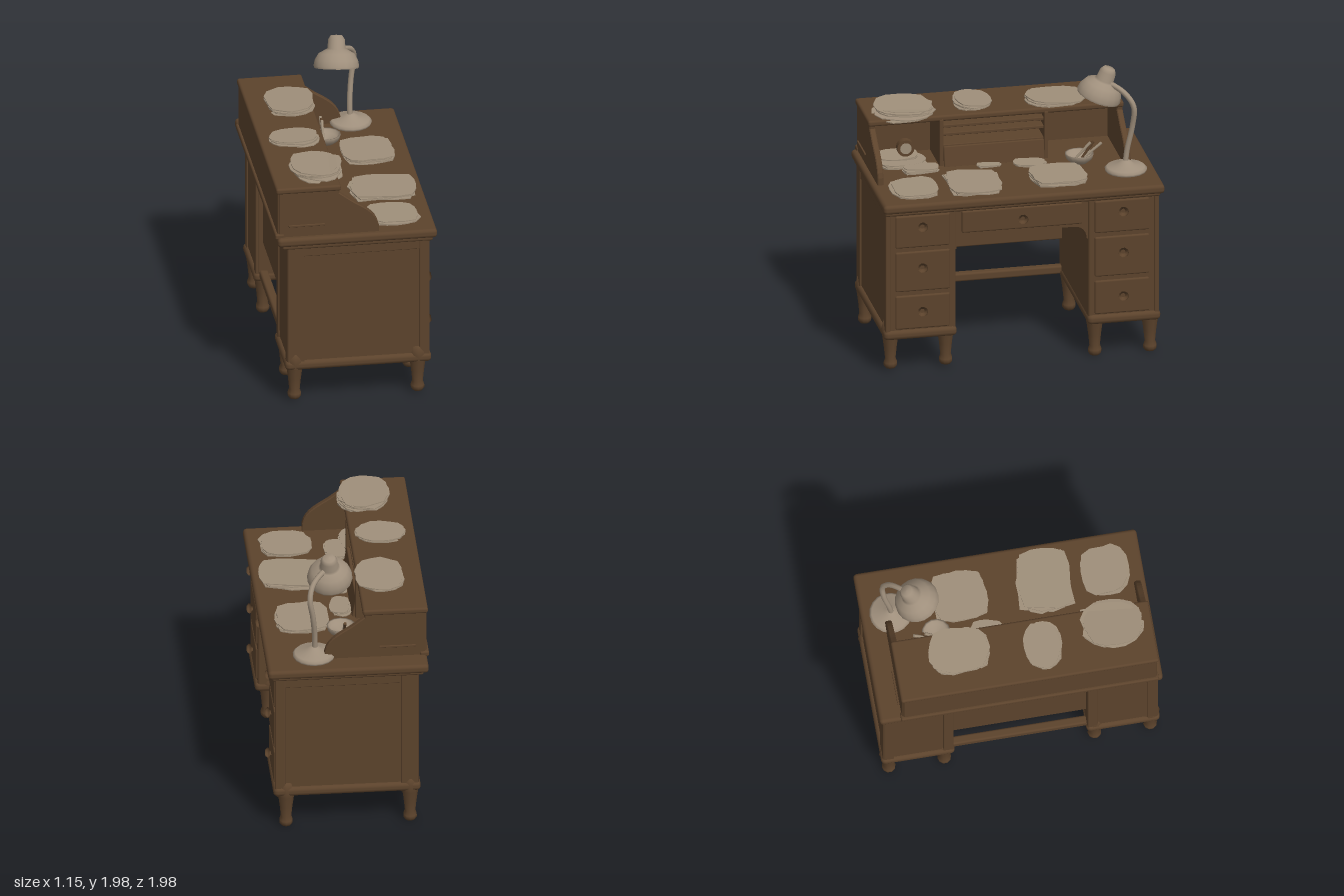
import * as THREE from 'three';
import { RoundedBoxGeometry } from 'three/addons/geometries/RoundedBoxGeometry.js';

export function createModel() {
  const model = new THREE.Group();
  model.name = 'writingDesk';
  // a very slight turn of the whole carcass gives the worn, out-of-square look
  const desk = new THREE.Group();
  desk.name = 'desk';
  desk.rotation.y = 0.022;
  model.add(desk);

  const material = (name, color, side = THREE.FrontSide) => {
    const m = new THREE.MeshStandardMaterial({ color, side });
    m.name = name;
    return m;
  };
  const wood = material('brown wood', 0x5c432c);
  const paper = material('old paper', 0x9f8f7a);
  const enamel = material('beige enamel', 0x9f8f7c, THREE.DoubleSide);

  let seed = 7;
  const rand = () => ((seed = (seed * 16807) % 2147483647) / 2147483647);

  const add = (name, geometry, mat, parent = desk) => {
    const mesh = new THREE.Mesh(geometry, mat);
    mesh.name = name;
    parent.add(mesh);
    return mesh;
  };
  // box given by its limits, with softened edges
  const box = (name, [x0, x1], [y0, y1], [z0, z1], r = 0.01, mat = wood) => {
    const mesh = add(name, new RoundedBoxGeometry(x1 - x0, y1 - y0, Math.abs(z1 - z0), 2, r), mat);
    mesh.position.set((x0 + x1) / 2, (y0 + y1) / 2, (z0 + z1) / 2);
    return mesh;
  };
  const lathe = (name, pts, segments, mat, parent = desk) =>
    add(name, new THREE.LatheGeometry(pts.map(p => new THREE.Vector2(...p)), segments), mat, parent);
  const knob = (y, z) => {
    const k = lathe('drawerKnob', [[0, 0.05], [0.022, 0.047], [0.036, 0.033], [0.033, 0.02], [0.016, 0.012], [0.02, -0.01]], 10, wood);
    k.rotation.z = -Math.PI / 2;
    k.position.set(0.502, y, z);
    k.material = wood;
  };

  // desk top with an under-moulding
  box('deskTop', [-0.548, 0.553], [1.185, 1.25], [-0.985, 0.975], 0.025);
  box('deskTopMoulding', [-0.515, 0.525], [1.16, 1.2], [-0.96, 0.96], 0.015);

  // two drawer pedestals
  for (const s of [1, -1]) {
    const inner = s * 0.462, outer = s * 0.94;
    const span = (a, b) => [Math.min(a, b), Math.max(a, b)];
    box('pedestal', [-0.47, 0.495], [0.25, 1.18], span(inner, outer), 0.015);
    box('pedestalBase', [-0.495, 0.515], [0.245, 0.315], span(s * 0.455, s * 0.965), 0.03);
    // frame on the outer side
    box('sideStile', [-0.478, -0.36], [0.28, 1.18], span(s * 0.92, s * 0.953), 0.008);
    box('sideStile', [0.43, 0.503], [0.28, 1.18], span(s * 0.92, s * 0.953), 0.008);
    box('sideRail', [-0.4, 0.46], [1.1, 1.18], span(s * 0.92, s * 0.948), 0.006);
    // frame on the back
    for (const z of [0.5, 0.91]) box('backStile', [-0.482, -0.45], [0.28, 1.18], [s * z - 0.035, s * z + 0.035], 0.008);
    // drawers
    for (const [y0, y1, ky] of [[0.32, 0.565, 0.45], [0.595, 0.885, 0.77], [0.915, 1.15, 1.07]]) {
      box('drawerFront', [0.47, 0.507], [y0, y1], span(s * 0.505, s * 0.885), 0.012);
      knob(ky, s * 0.7);
    }
    // shaped legs with small feet
    for (const x of [-0.425, 0.425]) for (const z of [0.52, 0.905]) {
      const leg = lathe('leg', [[0, 0], [0.034, 0], [0.047, 0.02], [0.047, 0.04], [0.037, 0.07], [0.045, 0.15], [0.056, 0.23], [0.066, 0.28], [0.05, 0.34], [0, 0.35]], 10, wood);
      leg.position.set(x, s < 0 ? 0 : 0.02, s * z);
    }
  }

  // centre drawer with a rounded arch over the kneehole
  const arch = new THREE.Shape();
  arch.moveTo(-0.47, 1.18);
  arch.lineTo(-0.47, 0.87);
  arch.lineTo(-0.455, 0.87);
  arch.quadraticCurveTo(-0.45, 0.96, -0.37, 0.965);
  arch.lineTo(0.37, 0.965);
  arch.quadraticCurveTo(0.45, 0.96, 0.455, 0.87);
  arch.lineTo(0.47, 0.87);
  arch.lineTo(0.47, 1.18);
  const apron = add('kneeholeApron', new THREE.ExtrudeGeometry(arch, { depth: 0.86, bevelEnabled: false, curveSegments: 6 }), wood);
  apron.rotation.y = -Math.PI / 2;
  apron.position.x = 0.475;
  box('centreDrawer', [0.44, 0.498], [0.99, 1.15], [-0.42, 0.42], 0.012);
  knob(1.07, 0);
  box('kneeholeBackPanel', [-0.43, -0.385], [0.53, 1.18], [-0.47, 0.47]);
  box('stretcher', [-0.455, -0.395], [0.27, 0.33], [-0.48, 0.48], 0.015);

  // hutch: curved ends, back, roof
  const end = new THREE.Shape();
  end.moveTo(-0.53, 1.24);
  end.lineTo(0.15, 1.24);
  end.lineTo(0.148, 1.3);
  end.bezierCurveTo(0.13, 1.4, 0.03, 1.44, -0.04, 1.49);
  end.lineTo(-0.125, 1.555);
  end.lineTo(-0.125, 1.6);
  end.lineTo(-0.53, 1.6);
  for (const z of [-0.825, 0.9]) {
    const panel = add('hutchEnd', new THREE.ExtrudeGeometry(end, { depth: 0.03, bevelEnabled: true, bevelSize: 0.006, bevelThickness: 0.006, bevelSegments: 1, curveSegments: 8 }), wood);
    panel.position.z = z;
  }
  box('hutchBack', [-0.545, -0.42], [1.24, 1.6], [-0.82, 0.93], 0.01);
  box('hutchRoof', [-0.555, -0.108], [1.575, 1.618], [-0.838, 0.945], 0.016);
  box('hutchBackFoot', [-0.562, -0.5], [1.235, 1.275], [-0.84, 0.945], 0.012);
  for (const z of [-0.85, 0.938]) box('hutchEndRidge', [-0.47, -0.22], [1.325, 1.34], [z, z + 0.012], 0.004);

  // pigeonholes
  for (const z of [-0.295, 0.435]) box('divider', [-0.48, -0.105], [1.24, 1.59], [z - 0.014, z + 0.014], 0.006);
  for (const y of [1.385, 1.47, 1.53]) box('pigeonholeShelf', [-0.48, -0.13], [y - 0.011, y + 0.011], [-0.29, 0.43], 0.005);
  box('pigeonholeCabinet', [-0.48, -0.13], [1.24, 1.38], [-0.29, 0.43]);
  const flap = box('pigeonholeFlap', [-0.12, -0.095], [1.24, 1.39], [-0.28, 0.42], 0.008);
  flap.rotation.z = 0.18;

  // irregular stack of sheets: centre, half sizes, count, squareness
  const stack = (x, y, z, rx, rz, count, square, ruffle = 0.03) => {
    const group = new THREE.Group();
    group.name = 'paperStack';
    group.position.set(x, y, z);
    for (let i = 0; i < count; i++) {
      const shape = new THREE.Shape();
      for (let k = 0; k < 16; k++) {
        const a = (k / 16) * Math.PI * 2, c = Math.cos(a), s = Math.sin(a);
        const r = (0.9 + rand() * 0.12) / Math.pow(Math.abs(c) ** square + Math.abs(s) ** square, 1 / square);
        shape[k ? 'lineTo' : 'moveTo'](c * r * rx, s * r * rz);
      }
      const sheet = add('sheet', new THREE.ExtrudeGeometry(shape, { depth: 0.007, bevelEnabled: false }), paper, group);
      sheet.rotation.set(-Math.PI / 2 + (rand() - 0.5) * ruffle, (rand() - 0.5) * ruffle, (rand() - 0.5) * 0.25);
      sheet.position.set((rand() - 0.5) * 0.02, i * 0.009, (rand() - 0.5) * 0.02);
    }
    model.add(group);
  };
  // on the desk top
  stack(0.26, 1.25, -0.31, 0.18, 0.19, 4, 5);
  stack(0.28, 1.25, 0.28, 0.22, 0.18, 4, 7);
  stack(0.3, 1.25, 0.7, 0.18, 0.165, 3, 3);
  stack(-0.02, 1.25, -0.16, 0.07, 0.11, 3, 3);
  stack(-0.035, 1.25, 0.12, 0.035, 0.085, 2, 4);
  stack(-0.03, 1.25, 0.6, 0.065, 0.12, 4, 5);
  stack(-0.2, 1.25, 0.7, 0.13, 0.17, 4, 3);
  stack(-0.22, 1.3, 0.73, 0.1, 0.15, 2, 3, 0.08);
  // on the hutch roof
  stack(-0.275, 1.615, -0.38, 0.165, 0.21, 4, 3, 0.1);
  stack(-0.31, 1.615, 0.19, 0.175, 0.13, 4, 2.2, 0.12);
  stack(-0.23, 1.62, 0.68, 0.175, 0.21, 6, 2.4, 0.2);

  // round clock in the left cubby
  const clock = add('clockBody', new THREE.CylinderGeometry(0.06, 0.06, 0.05, 14), wood, model);
  const face = add('clockFace', new THREE.CylinderGeometry(0.04, 0.04, 0.008, 14), paper, model);
  clock.rotation.z = face.rotation.z = -Math.PI / 2;
  clock.position.set(-0.15, 1.385, 0.68);
  face.position.set(-0.125, 1.385, 0.68);

  // bowl with pens
  const bowl = lathe('bowl', [[0, 0], [0.055, 0], [0.09, 0.03], [0.1, 0.065], [0.088, 0.063], [0.075, 0.035], [0, 0.02]], 14, enamel, model);
  bowl.position.set(0, 1.25, -0.5);
  for (const [z, tilt] of [[-0.53, 0.75], [-0.56, 0.6], [-0.6, 0.9]]) {
    const pen = add('pen', new THREE.CylinderGeometry(0.011, 0.009, 0.15, 6), z === -0.56 ? wood : paper, model);
    pen.position.set(-0.02, 1.325, z);
    pen.rotation.x = -tilt;
  }

  // desk lamp
  const lamp = new THREE.Group();
  lamp.name = 'deskLamp';
  model.add(lamp);
  const foot = lathe('lampBase', [[0, 0], [0.14, 0], [0.146, 0.02], [0.13, 0.035], [0.06, 0.05], [0.03, 0.075], [0, 0.08]], 18, enamel, lamp);
  foot.position.set(0.205, 1.245, -0.785);
  const path = new THREE.CatmullRomCurve3([[0.2, 1.28, -0.78], [0.2, 1.4, -0.795], [0.215, 1.58, -0.83], [0.235, 1.72, -0.835],
    [0.215, 1.8, -0.79], [0.165, 1.845, -0.73], [0.11, 1.86, -0.67]].map(p => new THREE.Vector3(...p)));
  add('lampNeck', new THREE.TubeGeometry(path, 24, 0.019, 8), enamel, lamp);
  const shade = lathe('lampShade', [[0.152, 0], [0.156, 0.015], [0.148, 0.055], [0.122, 0.1], [0.075, 0.125], [0.062, 0.135], [0.057, 0.195], [0.04, 0.222], [0, 0.226]], 18, enamel, lamp);
  shade.position.set(0.085, 1.755, -0.615);
  shade.quaternion.setFromUnitVectors(new THREE.Vector3(0, 1, 0), new THREE.Vector3(0.05, 0.93, -0.34).normalize());
  const bulb = add('bulb', new THREE.SphereGeometry(0.045, 10, 8), enamel, lamp);
  bulb.position.set(0.09, 1.82, -0.64);

  return model;
}
